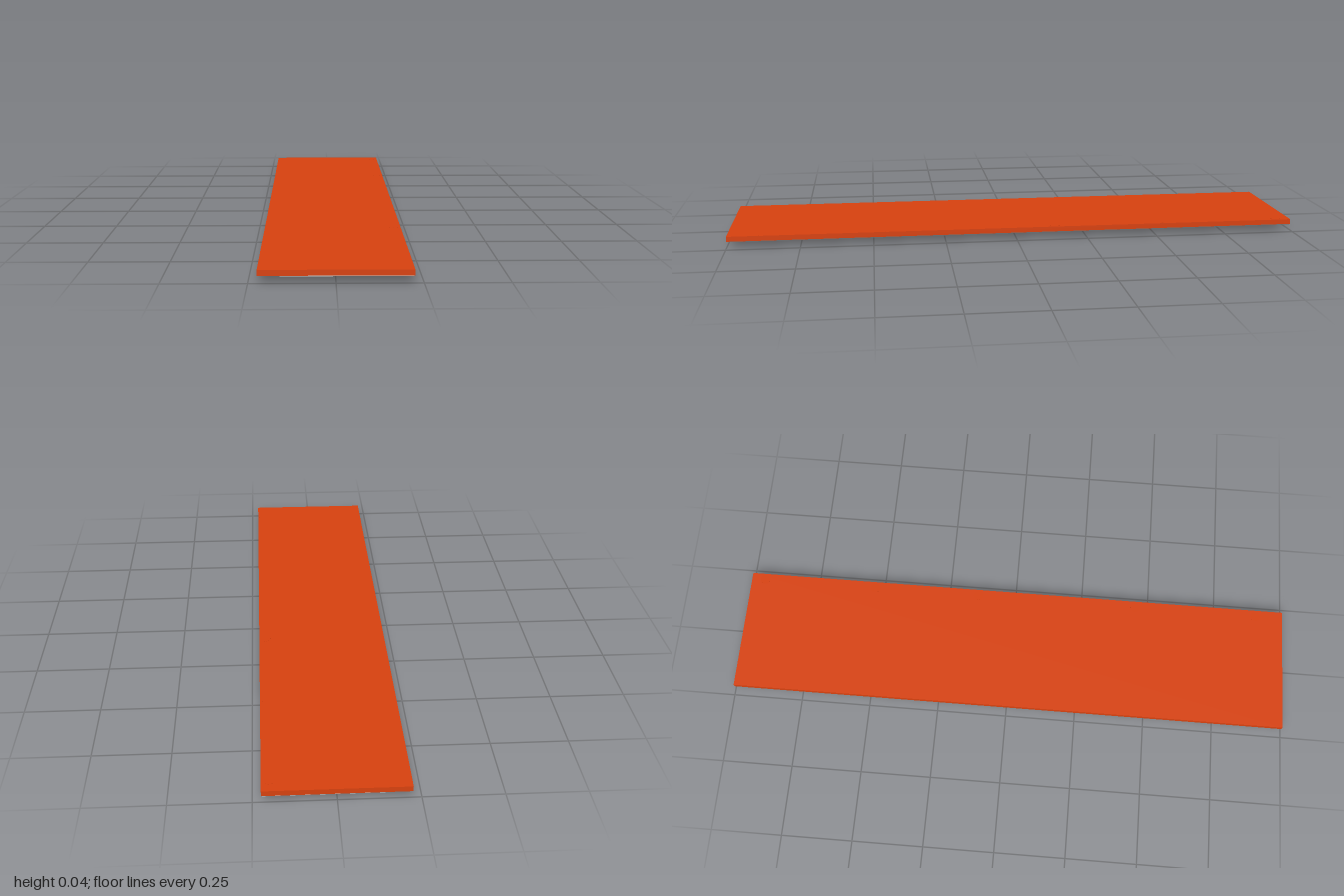
import * as THREE from 'three';

const orange = new THREE.MeshStandardMaterial({ color: 0xd9420f });
const grey = new THREE.MeshStandardMaterial({ color: 0xcccccc });

export function createModel() {
  const model = new THREE.Group();
  model.name = 'hingedPanel';

  const add = (name, geometry, material, x, y, z) => {
    const mesh = new THREE.Mesh(geometry, material);
    mesh.name = name;
    mesh.position.set(x, y, z);
    model.add(mesh);
    return mesh;
  };

  // Main board
  add('board', new THREE.BoxGeometry(0.448, 0.0175, 2), orange, 0, 0.03125, 0);

  // Thin backing sheet under the board, leaving a strip free beside the grip
  const sheet = new THREE.Shape([
    [-0.16, 0.0225], [-0.16, 0.0202], [0.221, 0.0202], [0.223, 0.0225],
  ].map(([x, y]) => new THREE.Vector2(x, y)));
  add('backingSheet',
    new THREE.ExtrudeGeometry(sheet, { depth: 1.996, bevelEnabled: false }),
    grey, 0, 0, -0.998);

  // Grip: slanted lip with a wedge root, its ends tapering toward the lower edge
  const profile = new THREE.Shape([
    [-0.2, 0.0225], [-0.187, 0], [-0.184, 0], [-0.1915, 0.0125], [-0.183, 0.0225],
  ].map(([x, y]) => new THREE.Vector2(x, y)));
  const grip = new THREE.ExtrudeGeometry(profile, { depth: 1, bevelEnabled: false });
  grip.translate(0, 0, -0.5);
  const p = grip.attributes.position;
  for (let i = 0; i < p.count; i++) {
    const t = p.getY(i) / 0.0225;
    p.setZ(i, p.getZ(i) * THREE.MathUtils.lerp(0.44, 0.57, t));
  }
  grip.computeVertexNormals();
  add('grip', grip, grey, 0, 0, 0.09);

  // Flush hinge cups along the left edge
  for (const z of [-0.95, -0.53, -0.14, 0.45, 0.9]) {
    add('hingeCup', new THREE.CylinderGeometry(0.018, 0.018, 0.017, 16),
      orange, 0.201, 0.0317, z);
  }

  return model;
}
